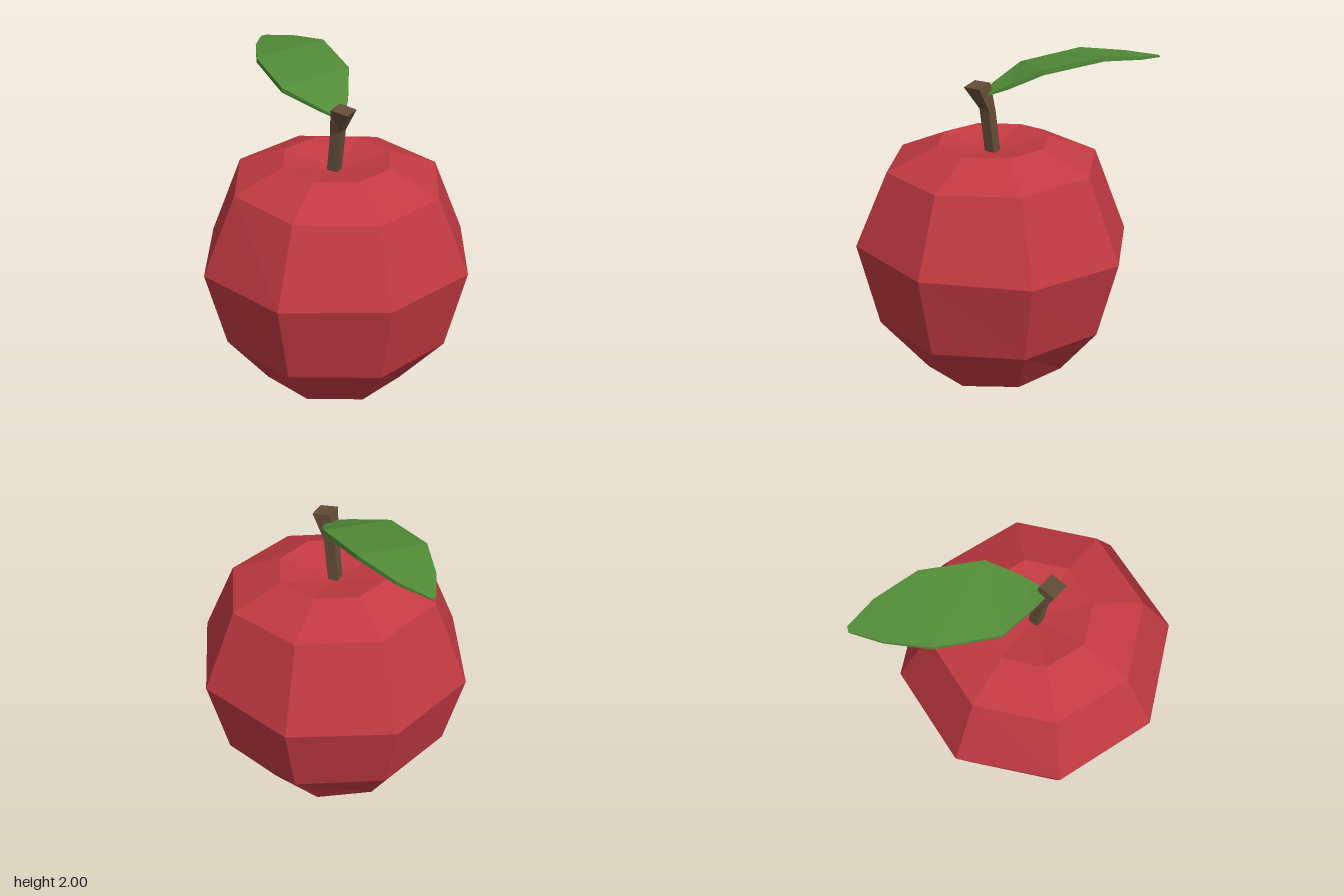
import * as THREE from 'three';

const V = (x, y, z) => new THREE.Vector3(x, y, z);
const red = new THREE.MeshStandardMaterial({ name: 'appleRed', color: 0xc23a42, flatShading: true });
const green = new THREE.MeshStandardMaterial({ name: 'leafGreen', color: 0x528c38, flatShading: true });
const brown = new THREE.MeshStandardMaterial({ name: 'stemBrown', color: 0x644d37, flatShading: true });

const centroid = (ring) =>
  ring.reduce((sum, p) => sum.add(p), V(0, 0, 0)).divideScalar(ring.length);

// Faceted skin over a list of rings, closed by a fan to an apex at each end
function loft(rings, startApex = centroid(rings[0]), endApex = centroid(rings.at(-1))) {
  const points = [];
  const n = rings[0].length;
  for (let i = 0; i < n; i++) {
    const j = (i + 1) % n;
    points.push(rings[0][i], rings[0][j], startApex);
    for (let k = 0; k + 1 < rings.length; k++) {
      const [a, b, c, d] = [rings[k][i], rings[k][j], rings[k + 1][j], rings[k + 1][i]];
      points.push(a, d, c, a, c, b);
    }
    points.push(rings.at(-1)[i], endApex, rings.at(-1)[j]);
  }
  const geometry = new THREE.BufferGeometry().setFromPoints(points);
  geometry.computeVertexNormals();
  return geometry;
}

// Regular ring that may lean along x and z
function ring(sides, radius, [cx, cy, cz], turn, leanX = 0, leanZ = 0) {
  return Array.from({ length: sides }, (_, i) => {
    const a = THREE.MathUtils.degToRad(turn + (i * 360) / sides);
    const x = Math.cos(a) * radius, z = Math.sin(a) * radius;
    return V(cx + x, cy + x * leanX + z * leanZ, cz + z);
  });
}

function part(name, geometry, material) {
  const mesh = new THREE.Mesh(geometry, material);
  mesh.name = name;
  return mesh;
}

export function createModel() {
  const model = new THREE.Group();
  model.name = 'apple';

  // Eight-sided fruit with a dimple on top
  const fruit = loft([
    ring(8, 0.44, [0.045, 0.077, 0], -18, -0.035),
    ring(8, 0.707, [0.07, 0.397, 0], -15.2),
    ring(8, 0.837, [0.07, 0.882, 0], -15.2, 0.03, 0.012),
    ring(8, 0.638, [0.075, 1.368, 0], -15.2, -0.02, -0.01),
    ring(8, 0.337, [0.07, 1.494, 0], -15.2, -0.012),
  ], V(0.11, 0, 0), V(0.07, 1.42, 0));
  model.add(part('fruit', fruit, red));

  // Square stem, flaring at the top
  const stem = loft([
    ring(4, 0.046, [0.06, 1.4, 0.012], 35),
    ring(4, 0.048, [0.095, 1.68, 0.02], 35, 0.3),
    ring(4, 0.078, [0.155, 1.84, 0.045], 35, -0.15),
  ]);
  model.add(part('stem', stem, brown));

  // Leaf sections from base to tip: back edge, front edge, thickness
  const sections = [
    [V(0.12, 1.79, -0.01), V(0.11, 1.785, 0.05), 0.012],
    [V(0.06, 1.85, -0.12), V(0, 1.82, 0.07), 0.022],
    [V(-0.06, 1.95, -0.28), V(-0.26, 1.89, 0.1), 0.03],
    [V(-0.39, 2.0, -0.45), V(-0.6, 1.945, -0.07), 0.03],
    [V(-0.67, 1.955, -0.49), V(-0.78, 1.93, -0.27), 0.022],
    [V(-0.87, 1.917, -0.47), V(-0.885, 1.914, -0.44), 0.01],
  ];
  const leaf = loft(sections.map(([back, front, t]) => {
    const down = V(0, -t, 0);
    return [back, front, front.clone().add(down), back.clone().add(down)];
  }));
  model.add(part('leaf', leaf, green));

  return model;
}
